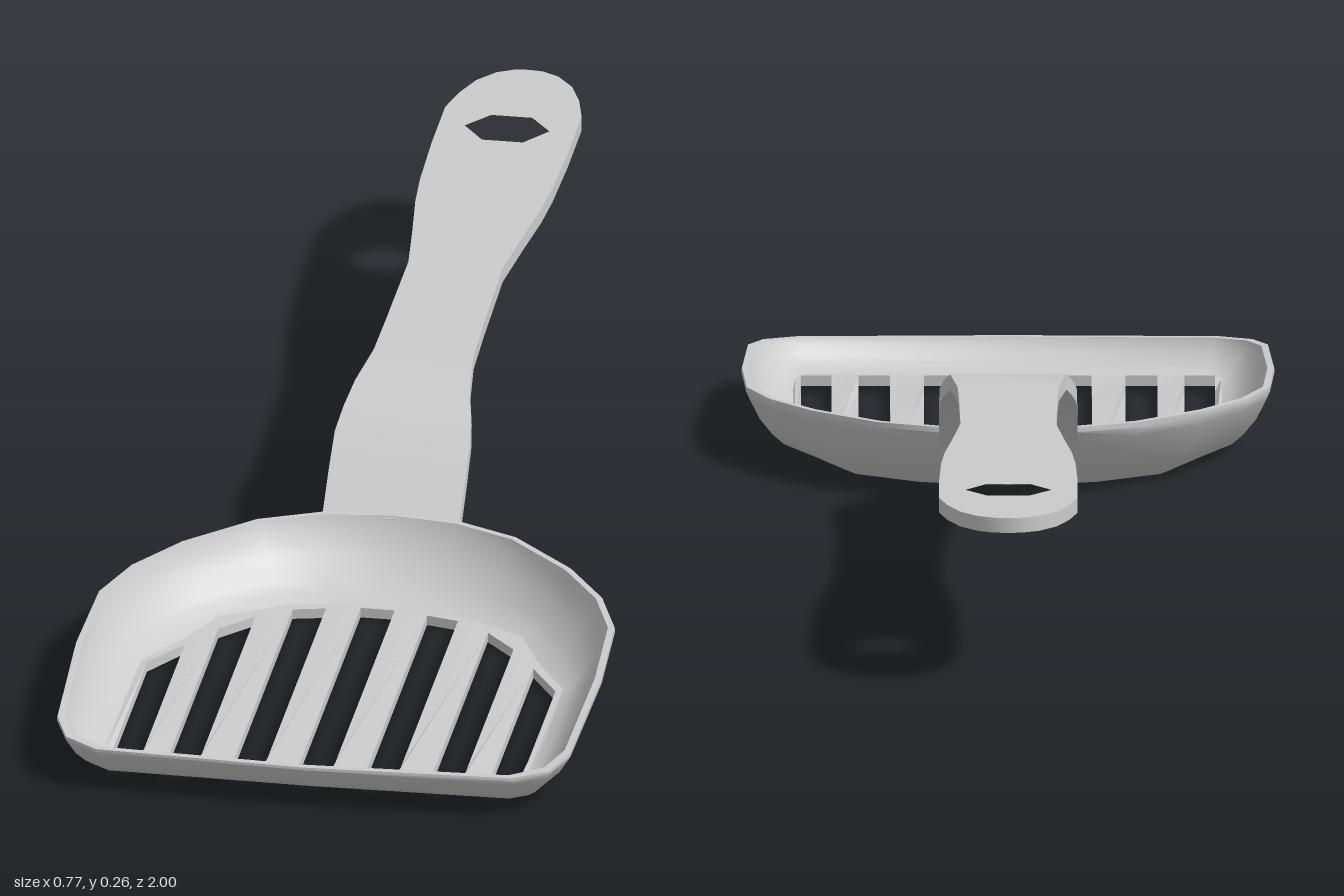
import * as THREE from 'three';
import { toCreasedNormals } from 'three/addons/utils/BufferGeometryUtils.js';

const material = new THREE.MeshStandardMaterial({ color: 0xcccccc });

// Mirror a half outline (first and last points on the centre line) into a closed one
const mirror = (half) => [...half, ...half.slice(1, -1).reverse().map(([x, z]) => [-x, z])];

// Piecewise linear lookup in rising [z, value] pairs
function lookup(table, z) {
  if (z <= table[0][0]) return table[0][1];
  for (let i = 1; i < table.length; i++) {
    const [z0, v0] = table[i - 1], [z1, v1] = table[i];
    if (z <= z1) return v0 + ((v1 - v0) * (z - z0)) / (z1 - z0);
  }
  return table[table.length - 1][1];
}

// Skin a row of closed cross-sections
function loft(rings) {
  const n = rings[0].length, index = [];
  for (let i = 0; i < rings.length - 1; i++) {
    for (let j = 0; j < n; j++) {
      const a = i * n + j, b = i * n + ((j + 1) % n), c = b + n, d = a + n;
      index.push(a, c, b, a, d, c);
    }
  }
  const g = new THREE.BufferGeometry();
  g.setAttribute('position', new THREE.Float32BufferAttribute(rings.flat(2), 3));
  g.setIndex(index);
  return toCreasedNormals(g, 0.7);
}

// Horizontal plate with holes, its top surface following topY(z)
function plate(outline, holes, depth, topY) {
  const vectors = (pts) => pts.map(([x, z]) => new THREE.Vector2(x, z));
  const shape = new THREE.Shape(vectors(outline));
  shape.holes = holes.map((h) => new THREE.Path(vectors(h)));
  const g = new THREE.ExtrudeGeometry(shape, { depth, bevelEnabled: false });
  g.rotateX(Math.PI / 2);
  const p = g.attributes.position;
  for (let i = 0; i < p.count; i++) p.setY(i, p.getY(i) + topY(p.getZ(i)));
  return toCreasedNormals(g, 0.6);
}

function part(name, geometry) {
  const mesh = new THREE.Mesh(geometry, material);
  mesh.name = name;
  return mesh;
}

export function createModel() {
  const model = new THREE.Group();
  model.name = 'slottedScoop';

  // Matching outlines of the floor and the rim
  const floor = mirror([[0, 0.325], [0.07, 0.33], [0.13, 0.345], [0.22, 0.395], [0.262, 0.485],
    [0.308, 0.56], [0.31, 0.7], [0.31, 0.86], [0.308, 0.91], [0.29, 0.93], [0, 0.935]]);
  const rim = mirror([[0, 0.208], [0.1, 0.22], [0.19, 0.258], [0.285, 0.345], [0.345, 0.43],
    [0.378, 0.52], [0.385, 0.68], [0.376, 0.9], [0.354, 0.955], [0.305, 0.985], [0, 0.996]]);
  const thickness = 0.015;
  const lift = (z) => Math.max(0, z - 0.86) * 0.16;
  const rimY = (z) => lookup([[0.2, 0.11], [0.4, 0.104], [0.6, 0.097], [0.8, 0.084], [1, 0.067]], z);

  // Floor with seven slots, angled at the back to follow the bowl
  const slots = [];
  const slotSizes = [[-0.025, 0.025, 0.337, 0.337], [0.074, 0.121, 0.347, 0.358],
    [0.17, 0.216, 0.39, 0.44], [0.255, 0.299, 0.5, 0.57]];
  for (const [x0, x1, z0, z1] of slotSizes) {
    const slot = [[x0, z0], [x1, z1], [x1, 0.86], [x1, 0.92], [x0, 0.92], [x0, 0.86]];
    slots.push(slot);
    if (x0 > 0) slots.push(slot.map(([x, z]) => [-x, z]));
  }
  model.add(part('slottedFloor', plate(floor, slots, thickness, (z) => thickness + lift(z))));

  // Curved wall: up the outside, over the rim and down the inside
  const wallRing = (s, h, inner) => floor.map(([fx, fz], i) => {
    const [rx, rz] = rim[i];
    const y0 = lift(fz) + inner * thickness;
    const inset = 1 - inner * 0.027 * s;
    return [
      (fx + (rx - fx) * s) * inset,
      y0 + (rimY(rz) - y0) * h,
      0.6 + (fz + (rz - fz) * s - 0.6) * inset,
    ];
  });
  const profile = [[0, 0], [0.22, 0.08], [0.45, 0.24], [0.72, 0.5], [0.92, 0.8], [1, 0.93]];
  const outside = profile.map(([s, h]) => wallRing(s, h, 0));
  const inside = profile.map(([s, h], i) => wallRing(s, i === 5 ? 1 : h, 1)).reverse();
  model.add(part('bowlWall', loft([...outside, wallRing(0.99, 1, 0), ...inside])));

  // Handle neck: stations of top z, top y, bottom z, bottom y, half width
  const stations = [
    [0.222, 0.105, 0.206, 0.086, 0.1],
    [0.165, 0.152, 0.153, 0.133, 0.1],
    [0.118, 0.191, 0.108, 0.171, 0.099],
    [0.075, 0.212, 0.067, 0.191, 0.093],
    [0.03, 0.232, 0.025, 0.21, 0.084],
    [-0.07, 0.236, -0.07, 0.215, 0.073],
    [-0.17, 0.24, -0.17, 0.219, 0.071],
    [-0.35, 0.246, -0.35, 0.224, 0.069],
    [-0.45, 0.2475, -0.45, 0.2255, 0.08],
    [-0.55, 0.249, -0.55, 0.227, 0.092],
    [-0.62, 0.25, -0.62, 0.228, 0.097],
  ];
  const rings = stations.map(([zt, yt, zb, yb, w]) =>
    [[w, yt, zt], [-w, yt, zt], [-w, yb, zb], [w, yb, zb]]);
  const startCap = Array(4).fill([0, 0.0955, 0.214]);
  model.add(part('handleNeck', loft([startCap, ...rings])));

  // Rounded grip end with a hanging hole
  const grip = mirror([[0, -0.62], [0.097, -0.62], [0.1, -0.74], [0.1, -0.86], [0.088, -0.91],
    [0.07, -0.955], [0.045, -0.985], [0.02, -0.998], [0, -1]]);
  const hole = [[0.062, -0.805], [0.03, -0.845], [-0.03, -0.845],
    [-0.062, -0.805], [-0.03, -0.763], [0.03, -0.763]];
  const gripY = (z) => 0.25 + (-0.62 - z) * 0.016;
  model.add(part('handleGrip', plate(grip, [hole], 0.022, gripY)));

  return model;
}
